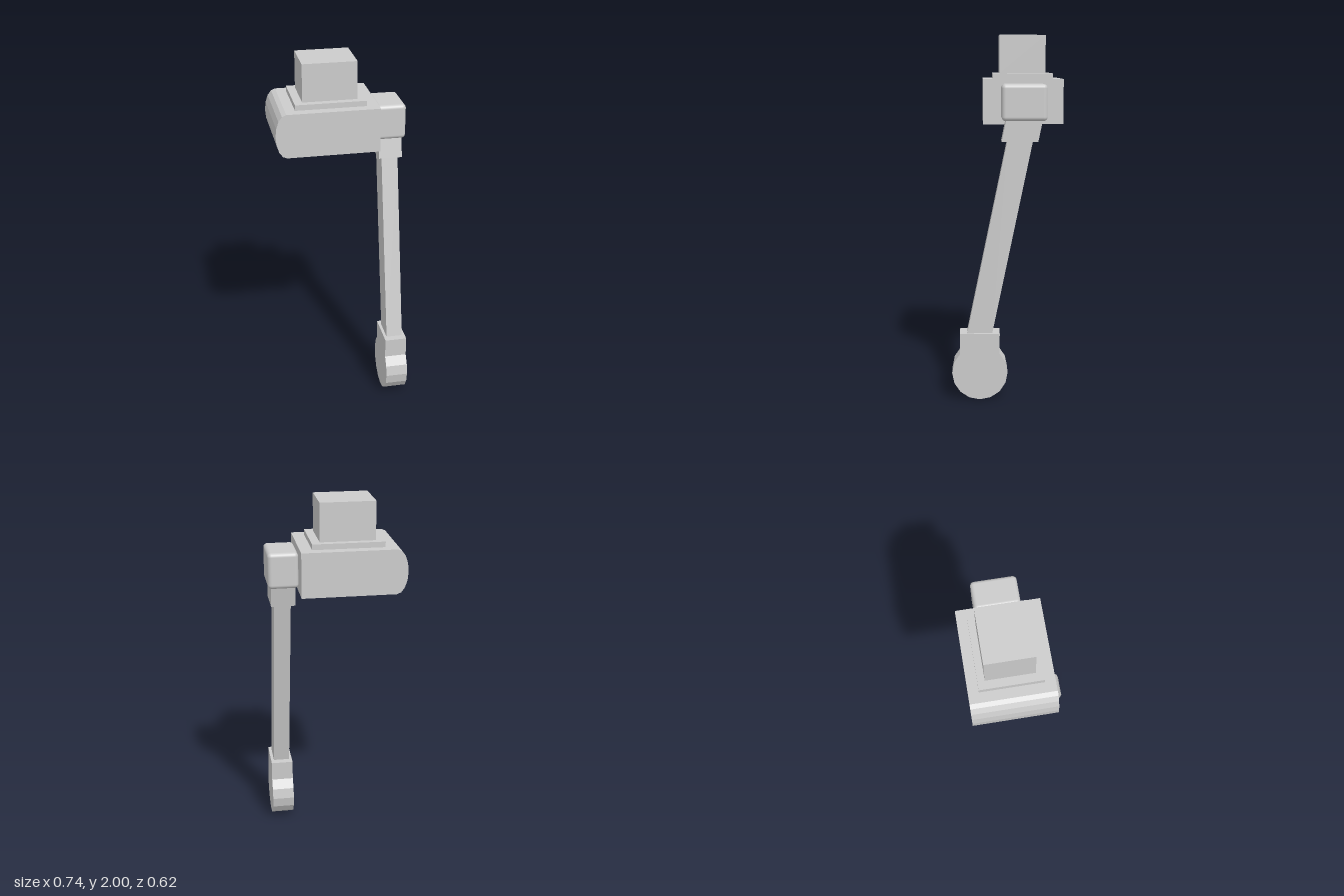
import * as THREE from 'three';
import { RoundedBoxGeometry } from 'three/addons/geometries/RoundedBoxGeometry.js';

const material = new THREE.MeshStandardMaterial({ color: 0xcccccc });

export function createModel() {
  const group = new THREE.Group();

  const add = (name, geometry, x = 0, y = 0, z = 0) => {
    const mesh = new THREE.Mesh(geometry, material);
    mesh.name = name;
    mesh.position.set(x, y, z);
    group.add(mesh);
    return mesh;
  };
  const box = (name, x0, x1, y0, y1, z0, z1) =>
    add(name, new THREE.BoxGeometry(x1 - x0, y1 - y0, z1 - z0),
      (x0 + x1) / 2, (y0 + y1) / 2, (z0 + z1) / 2);
  const extrude = (points, depth) => new THREE.ExtrudeGeometry(
    new THREE.Shape(points.map(([a, b]) => new THREE.Vector2(a, b))),
    { depth, bevelEnabled: false });
  // Side profile of [z, y] points, extruded from x0 to x1
  const sideProfile = (name, points, x0, x1) => {
    add(name, extrude(points, x1 - x0), x1).rotation.y = -Math.PI / 2;
  };

  // Housing with a bulged right end
  const housing = [[0.2, 1.515], [0.2, 1.76]];
  for (let i = 0; i <= 8; i++) {
    const a = Math.PI / 2 + (i / 8) * Math.PI;
    housing.push([-0.31 + 0.06 * Math.cos(a), 1.6375 + 0.1225 * Math.sin(a)]);
  }
  add('housing', extrude(housing, 0.44), 0, 0, -0.31);

  // Stepped mount on top
  box('mountPlate', -0.255, 0.135, 1.76, 1.79, -0.255, 0.075);
  box('mountBlock', -0.21, 0.09, 1.79, 2, -0.218, 0.037);

  // Rounded pivot at the side
  add('pivot', new RoundedBoxGeometry(0.165, 0.196, 0.244, 4, 0.022), 0.284, 1.638, -0.09);

  // Slanted collar and arm, cut level at both ends
  sideProfile('collar', [[0.032, 1.43], [-0.164, 1.43], [-0.19, 1.555], [0.006, 1.555]], 0.217, 0.348);
  sideProfile('arm', [[0.224, 0.365], [0.086, 0.365], [-0.138, 1.44], [0, 1.44]], 0.238, 0.33);

  // Pedal: a disc with a square neck
  const pedal = [[0.262, 0.375], [0.043, 0.375]];
  for (let i = 2; i <= 14; i++) {
    const a = Math.PI / 2 + (i / 16) * Math.PI * 2;
    pedal.push([0.153 + 0.153 * Math.cos(a), 0.155 + 0.153 * Math.sin(a)]);
  }
  sideProfile('pedal', pedal, 0.222, 0.347);

  return group;
}
